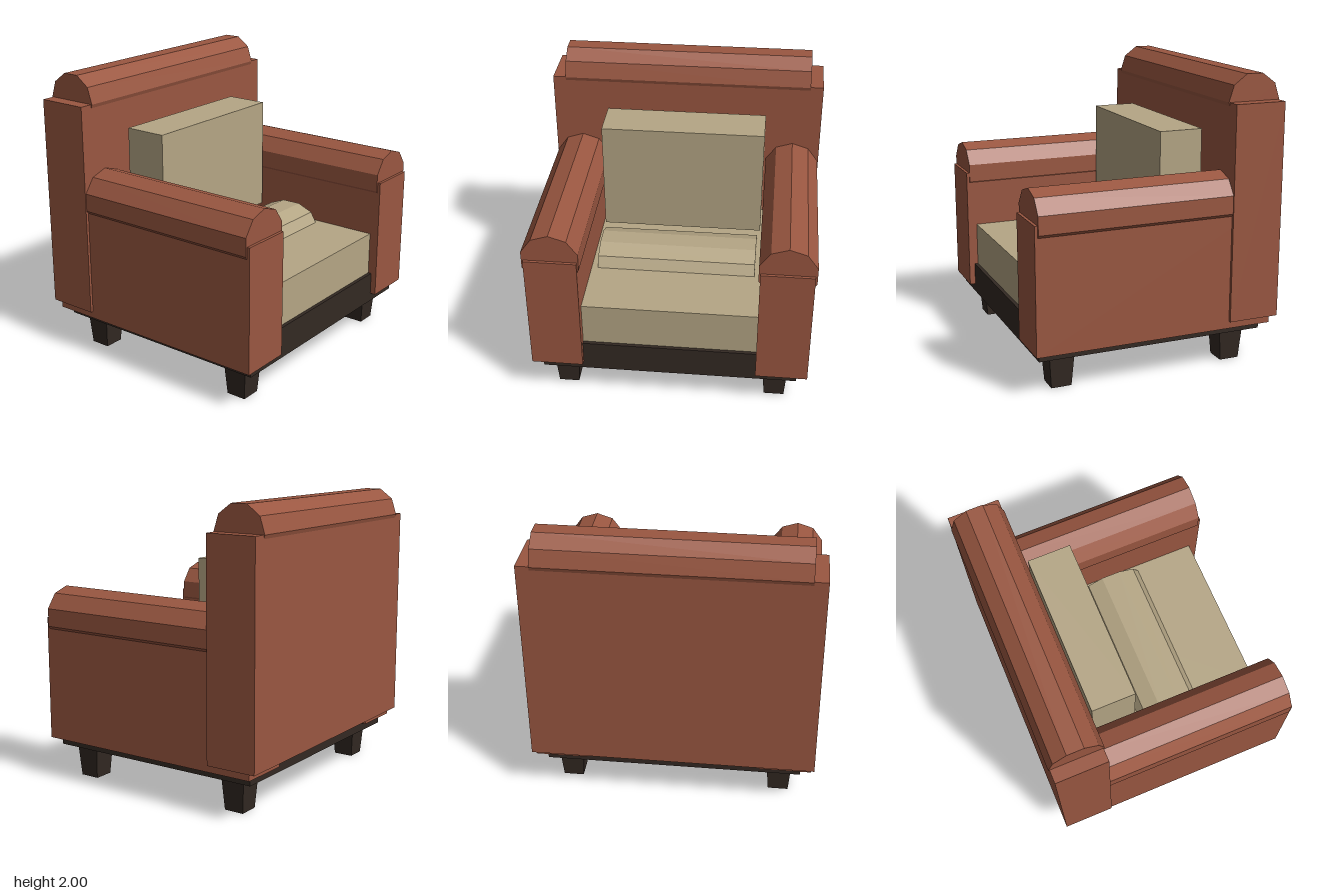
import * as THREE from 'three';

const paint = (color) => new THREE.MeshStandardMaterial({ color, flatShading: true });

export function createModel() {
  const group = new THREE.Group();
  const leather = paint(0x9a5741);
  const fabric = paint(0xb5a685);
  const wood = paint(0x332923);

  const add = (name, geometry, material) => {
    const mesh = new THREE.Mesh(geometry, material);
    mesh.name = name;
    group.add(mesh);
    return mesh;
  };

  // Box given by its limits on each axis
  const box = (name, material, [x0, x1], [y0, y1], [z0, z1]) =>
    add(name, new THREE.BoxGeometry(x1 - x0, y1 - y0, z1 - z0), material)
      .position.set((x0 + x1) / 2, (y0 + y1) / 2, (z0 + z1) / 2);

  // Ten-sided roll lying along x, with a flat facet on top
  const rollX = (name, material, width, y, z, ry, rz) => {
    const geometry = new THREE.CylinderGeometry(1, 1, width, 10);
    geometry.rotateY(Math.PI / 2).rotateZ(Math.PI / 2).scale(1, ry, rz);
    // align a corner with the z axis
    const corner = Math.PI / 10;
    geometry.dispose();
    const g = new THREE.CylinderGeometry(1, 1, width, 10);
    g.rotateY(corner * 10 / 2 * 2).rotateZ(Math.PI / 2).scale(1, ry, rz);
    add(name, g, material).position.set(0, y, z);
  };

  // Wooden base and tapered square legs
  box('base', wood, [-0.885, 0.885], [0.23, 0.45], [-0.77, 0.83]);
  for (const [side, sx] of [['left', 1], ['right', -1]]) {
    for (const [end, z] of [['Front', 0.652], ['Back', -0.592]]) {
      const leg = new THREE.CylinderGeometry(0.087 * Math.SQRT2, 0.07 * Math.SQRT2, 0.23, 4);
      leg.rotateY(Math.PI / 4);
      add(`${side}${end}Leg`, leg, wood).position.set(sx * 0.737, 0.115, z);
    }

    // Arm panel with a ten-sided roll on top, corner upwards
    const limits = [sx * 0.6, sx * 0.957].sort((a, b) => a - b);
    box(`${side}Arm`, leather, limits, [0.29, 1.155], [-0.81, 0.87]);
    const roll = new THREE.CylinderGeometry(0.2, 0.2, 1.4, 10);
    roll.rotateX(-Math.PI / 2);
    add(`${side}ArmRoll`, roll, leather).position.set(sx * 0.78, 1.155, 0.15);
  }

  // Backrest and its top roll
  box('backrest', leather, [-0.977, 0.977], [0.34, 1.82], [-0.86, -0.5]);
  rollX('backrestRoll', leather, 1.77, 1.82, -0.68, 0.19, 0.188);

  // Cushions and lumbar bolster
  box('seatCushion', fabric, [-0.6, 0.6], [0.45, 0.757], [-0.5, 0.805]);
  box('backCushion', fabric, [-0.577, 0.577], [0.8, 1.6], [-0.46, -0.152]);
  rollX('bolster', fabric, 1.114, 0.757, 0.135, 0.124, 0.225);

  return group;
}
